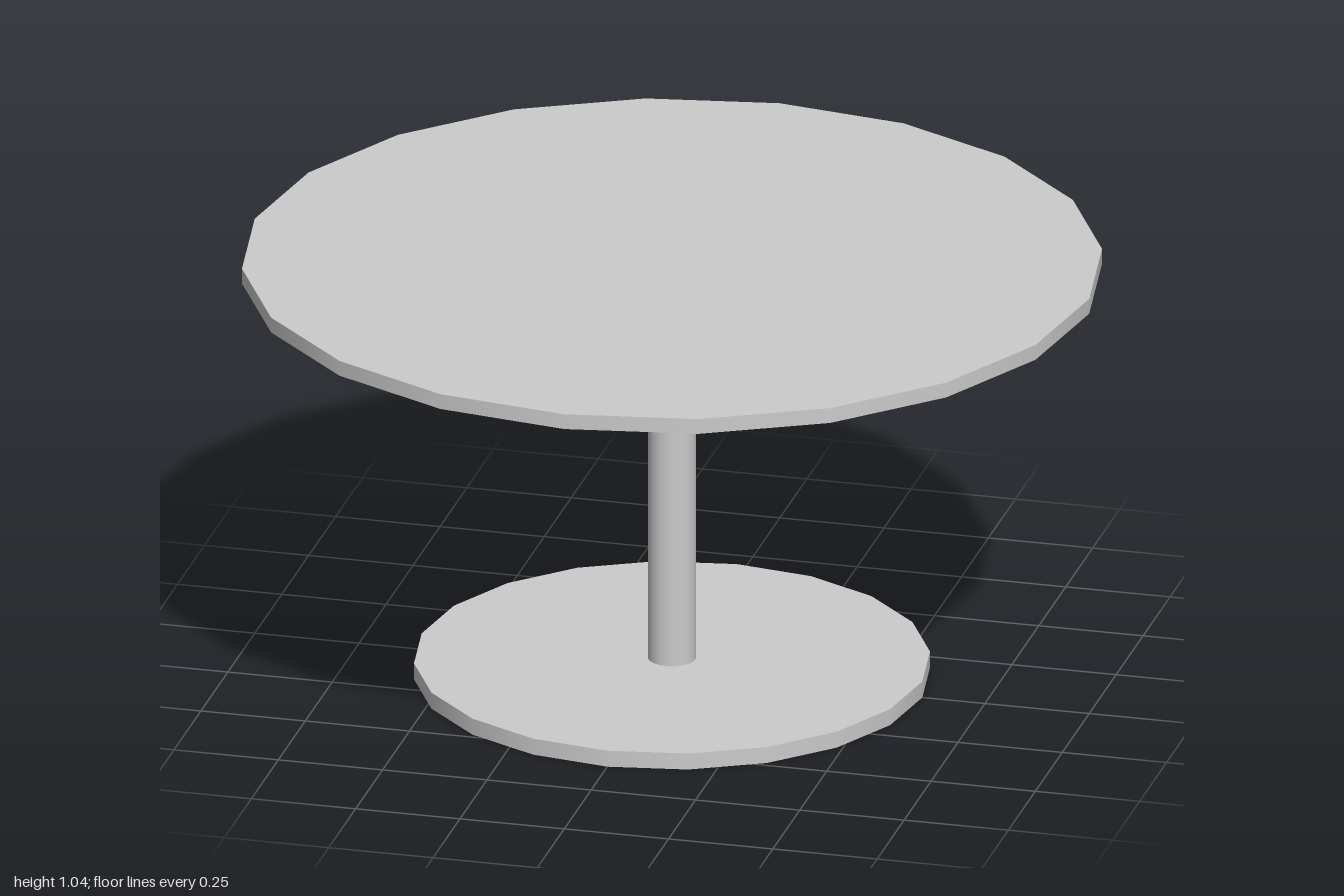
import * as THREE from 'three';

const SIDES = 20;

export function createModel() {
  const group = new THREE.Group();
  group.name = 'roundPedestalTable';
  const material = new THREE.MeshStandardMaterial({ color: 0xcccccc });

  // Upright disc or post spanning two heights
  const addCylinder = (name, radius, bottom, top) => {
    const mesh = new THREE.Mesh(
      new THREE.CylinderGeometry(radius, radius, top - bottom, SIDES),
      material
    );
    mesh.name = name;
    mesh.position.y = (bottom + top) / 2;
    group.add(mesh);
  };

  addCylinder('base', 0.6, 0, 0.04);
  addCylinder('column', 0.056, 0.04, 1);
  addCylinder('tabletop', 1, 1, 1.037);

  return group;
}
